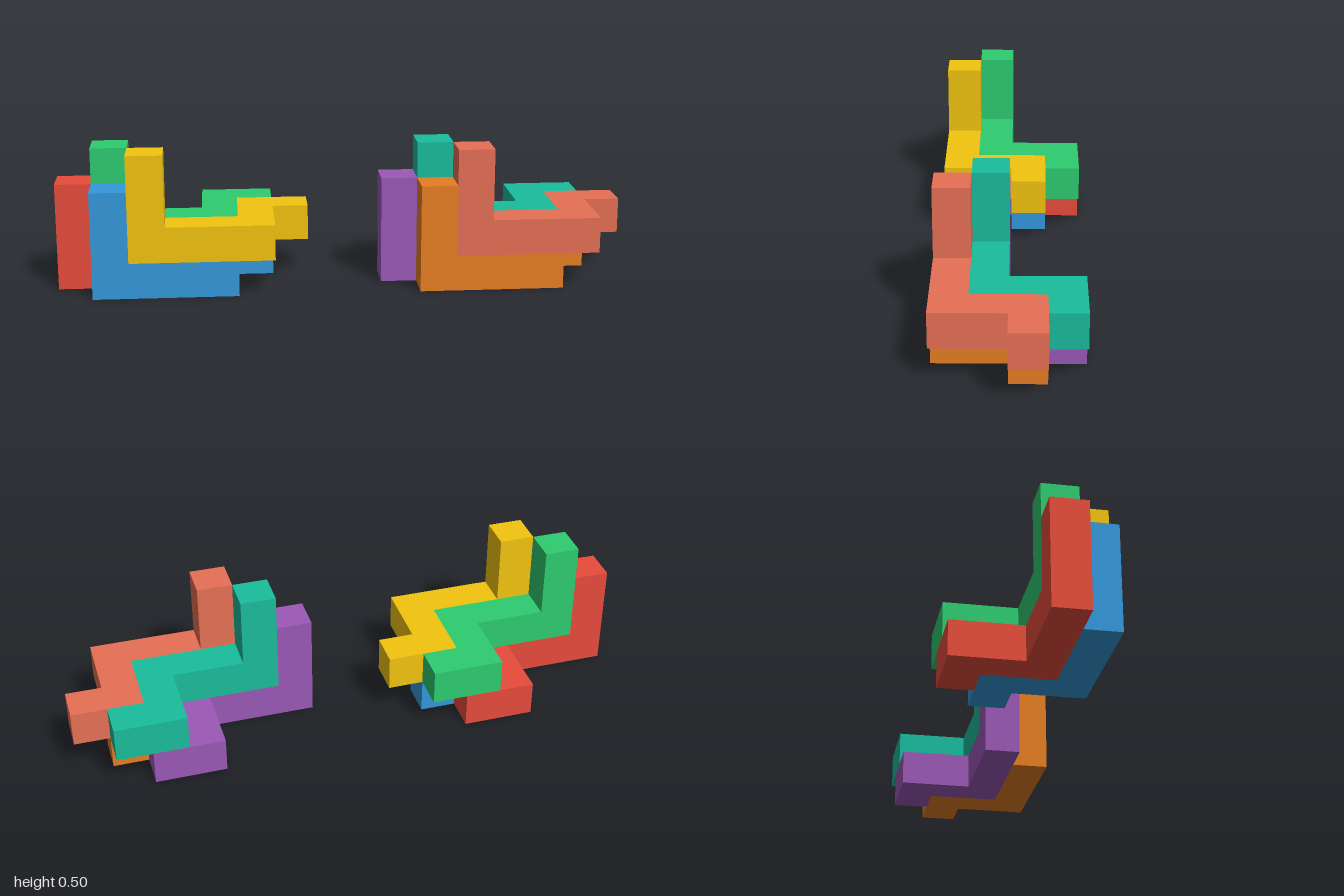
import * as THREE from 'three';
import { mergeGeometries } from 'three/addons/utils/BufferGeometryUtils.js';

const CELL = 0.125;

// One puzzle piece, in cells: a zigzag base with a two-cell post on its first cell
function pieceGeometry() {
  const outline = [[0, -1], [4, -1], [4, 1], [5, 1], [5, 2], [3, 2], [3, 0], [0, 0]];
  const shape = new THREE.Shape(outline.map(([x, y]) => new THREE.Vector2(x, y)));
  const base = new THREE.ExtrudeGeometry(shape, { depth: 1, bevelEnabled: false });
  base.rotateX(-Math.PI / 2);
  const post = new THREE.BoxGeometry(1, 2, 1).toNonIndexed();
  post.translate(0.5, 2, 0.5);
  return mergeGeometries([base, post]).scale(CELL, CELL, CELL);
}

export function createModel() {
  const model = new THREE.Group();
  const geometry = pieceGeometry();

  // Four nested pieces per cluster: name and cell position of the post
  const slots = [
    ['backLowerPiece', -8, 0, 0],
    ['backUpperPiece', -7, 1, 0],
    ['frontLowerPiece', -7, 0, 1],
    ['frontUpperPiece', -6, 1, 1],
  ];
  const clusters = [
    ['rightCluster', 0, [0xe74c3c, 0x2ecc71, 0x3498db, 0xf1c40f]],
    ['leftCluster', 9, [0x9b59b6, 0x1abc9c, 0xe67e22, 0xe77055]],
  ];

  for (const [clusterName, shift, colors] of clusters) {
    const cluster = new THREE.Group();
    cluster.name = clusterName;
    cluster.position.x = shift * CELL;
    slots.forEach(([name, x, y, z], i) => {
      const piece = new THREE.Mesh(geometry, new THREE.MeshStandardMaterial({ color: colors[i] }));
      piece.name = name;
      piece.position.set(x, y, z).multiplyScalar(CELL);
      cluster.add(piece);
    });
    model.add(cluster);
  }
  return model;
}
